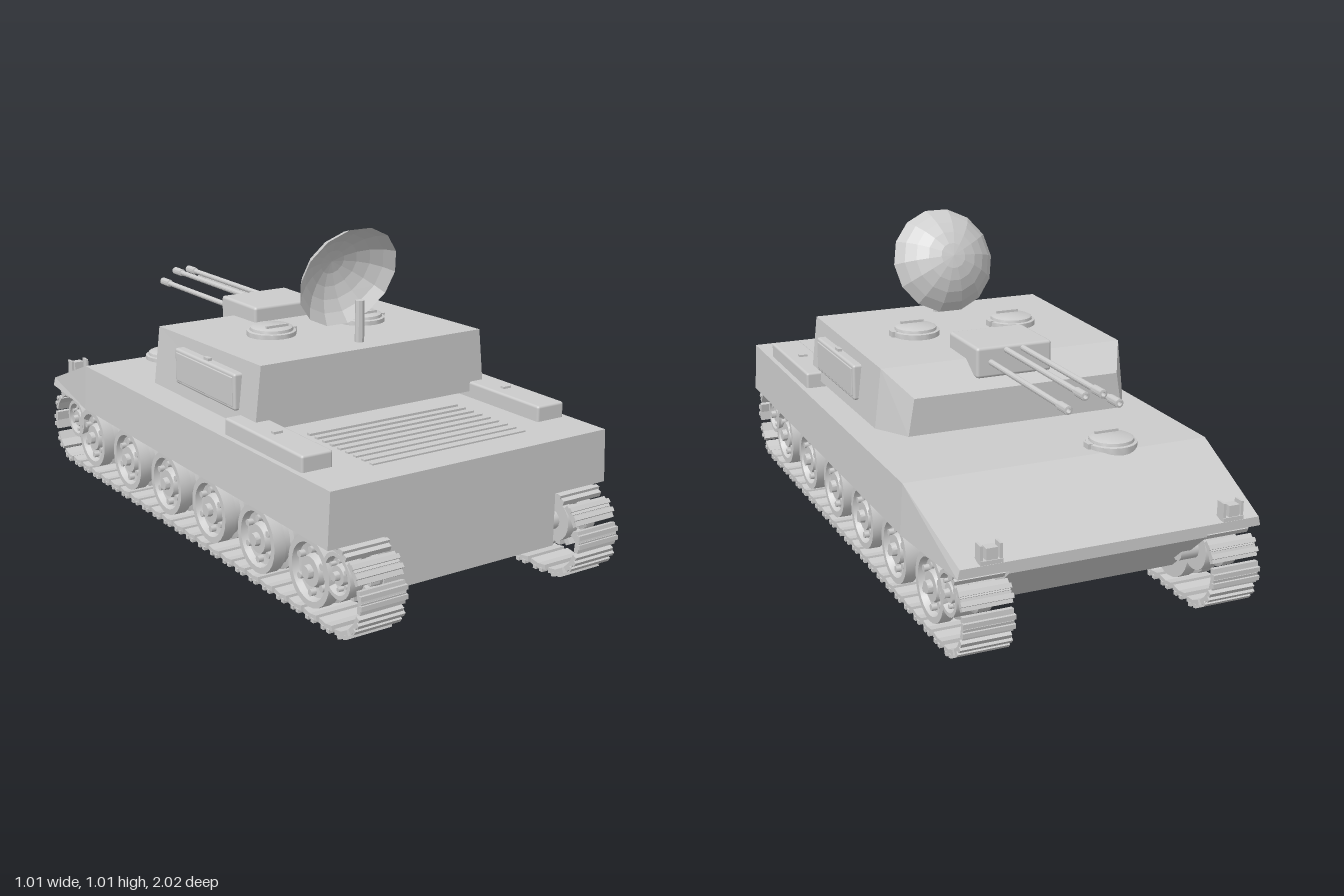
import * as THREE from 'three';
import { mergeGeometries, toCreasedNormals } from 'three/addons/utils/BufferGeometryUtils.js';
import { RoundedBoxGeometry } from 'three/addons/geometries/RoundedBoxGeometry.js';

const flat = new THREE.MeshStandardMaterial({ color: 0xcccccc, flatShading: true });
const smooth = new THREE.MeshStandardMaterial({ color: 0xcccccc });
const thin = new THREE.MeshStandardMaterial({ color: 0xcccccc, flatShading: true, side: THREE.DoubleSide });

function add(parent, name, geometry, material, x = 0, y = 0, z = 0) {
  const mesh = new THREE.Mesh(geometry, material);
  mesh.name = name;
  mesh.position.set(x, y, z);
  parent.add(mesh);
  return mesh;
}

const box = (w, h, d) => new THREE.BoxGeometry(w, h, d);
const rounded = (w, h, d, r = 0.008) => new RoundedBoxGeometry(w, h, d, 2, r);

// Four-cornered sections from rear to nose: [z, half width low, half width high, y low, y high]
function loft(sections) {
  const pos = [], idx = [];
  for (const [z, wb, wt, yb, yt] of sections) pos.push(-wb, yb, z, wb, yb, z, wt, yt, z, -wt, yt, z);
  for (let s = 0; s < sections.length - 1; s++) {
    for (let i = 0; i < 4; i++) {
      const a = s * 4 + i, b = s * 4 + (i + 1) % 4;
      idx.push(a, a + 4, b, b, a + 4, b + 4);
    }
  }
  const e = (sections.length - 1) * 4;
  idx.push(0, 1, 2, 0, 2, 3, e, e + 2, e + 1, e, e + 3, e + 2);
  const g = new THREE.BufferGeometry();
  g.setAttribute('position', new THREE.Float32BufferAttribute(pos, 3));
  g.setIndex(idx);
  const out = g.toNonIndexed();
  out.computeVertexNormals();
  return out;
}

function lathe(profile, segments) {
  const g = new THREE.LatheGeometry(profile.map(p => new THREE.Vector2(...p)), segments);
  return toCreasedNormals(g, 0.6);
}

// Dished disc with hub and a ring of bolts, axis along y
function wheelGeometry(r) {
  const disc = lathe([[0, -0.055], [r, -0.055], [r, -0.015], [r * 0.85, -0.01], [r * 0.85, 0.01], [r, 0.015],
    [r, 0.055], [r * 0.82, 0.055], [r * 0.76, 0.035], [r * 0.48, 0.03], [r * 0.42, 0.05],
    [r * 0.2, 0.05], [r * 0.18, 0.066], [0, 0.066]], 24);
  const parts = [disc];
  for (let i = 0; i < 6; i++) {
    const a = i * Math.PI / 3;
    parts.push(new THREE.CylinderGeometry(r * 0.1, r * 0.1, 0.02, 8).toNonIndexed()
      .translate(Math.cos(a) * r * 0.62, 0.04, Math.sin(a) * r * 0.62));
  }
  return mergeGeometries(parts);
}

// Separate links laid around a long oval
function trackGeometry() {
  const half = 0.87, r = 0.121, yc = 0.147, count = 54;
  const straight = half * 2, arc = Math.PI * r, total = 2 * (straight + arc);
  const link = mergeGeometries([
    box(0.15, 0.016, 0.034).rotateX(0.16).translate(0, 0, 0.016),
    box(0.15, 0.016, 0.034).rotateX(-0.16).translate(0, 0, -0.016),
    box(0.156, 0.012, 0.014).translate(0, 0.01, 0.012),
    box(0.156, 0.012, 0.014).translate(0, 0.01, -0.016)]);
  const links = [];
  for (let i = 0; i < count; i++) {
    let s = (i + 0.5) * total / count, z, y, a;
    if (s < straight) { z = half - s; y = yc - r; a = Math.PI; }
    else if ((s -= straight) < arc) {
      a = Math.PI + s / r;
      z = -half + Math.sin(a) * r; y = yc + Math.cos(a) * r;
    } else if ((s -= arc) < straight) { z = -half + s; y = yc + r; a = 0; }
    else {
      a = (s - straight) / r;
      z = half + Math.sin(a) * r; y = yc + Math.cos(a) * r;
    }
    links.push(link.clone().rotateX(a).translate(0, y, z));
  }
  return mergeGeometries(links);
}

function hatch(parent, name, x, y, z) {
  const g = new THREE.Group();
  g.name = name;
  g.position.set(x, y, z);
  add(g, 'hatchLid', lathe([[0, -0.015], [0.079, -0.015], [0.079, 0.012], [0.07, 0.014], [0.068, 0.023],
    [0.06, 0.027], [0, 0.027]], 24), smooth);
  add(g, 'hatchHandle', box(0.08, 0.008, 0.008), flat, 0, 0.031, 0.033);
  add(g, 'hatchHinge', box(0.02, 0.02, 0.03), flat, 0.077, 0.005, 0);
  parent.add(g);
}

export function createModel() {
  const model = new THREE.Group();
  model.name = 'trackedGunCarrier';

  // Hull
  add(model, 'upperHull', loft([[0.9, 0.505, 0.497, 0.28, 0.447], [-0.64, 0.505, 0.497, 0.28, 0.436],
    [-0.985, 0.475, 0.468, 0.28, 0.308]]), flat);
  add(model, 'lowerHull', loft([[0.895, 0.312, 0.312, 0.112, 0.285], [0.87, 0.312, 0.312, 0.1, 0.285],
    [-0.78, 0.312, 0.312, 0.1, 0.285], [-0.96, 0.312, 0.312, 0.26, 0.285]]), flat);
  for (let i = 0; i < 9; i++) add(model, 'grilleSlat', box(0.56, 0.01, 0.016), flat, 0, 0.446, 0.46 + i * 0.04);
  hatch(model, 'driverHatch', -0.2, 0.438, -0.585);

  // Running gear and side fittings, mirrored
  const track = trackGeometry(), roadWheel = wheelGeometry(0.106), endWheel = wheelGeometry(0.068);
  const teeth = [];
  for (let i = 0; i < 12; i++) teeth.push(box(0.03, 0.03, 0.018).translate(0, 0.072, 0).rotateX(i * Math.PI / 6));
  const toothRing = mergeGeometries(teeth);
  for (const s of [1, -1]) {
    const side = s > 0 ? 'left' : 'right';
    const gear = new THREE.Group();
    gear.name = side + 'RunningGear';
    model.add(gear);
    add(gear, 'track', track, flat, s * 0.39);
    for (let i = 0; i < 6; i++) {
      add(gear, 'roadWheel', roadWheel, smooth, s * 0.394, 0.142, 0.72 - i * 0.2872).rotation.z = -s * Math.PI / 2;
    }
    for (const z of [0.86, -0.85]) {
      add(gear, 'endWheel', endWheel, smooth, s * 0.394, 0.18, z).rotation.z = -s * Math.PI / 2;
      add(gear, 'endWheelAxle', new THREE.CylinderGeometry(0.03, 0.03, 0.1, 12), smooth, s * 0.33, 0.18, z)
        .rotation.z = Math.PI / 2;
    }
    add(gear, 'sprocketTeeth', toothRing, flat, s * 0.38, 0.18, 0.86);

    add(model, side + 'StowageBin', rounded(0.104, 0.06, 0.425), smooth, s * 0.428, 0.465, 0.522);
    add(model, side + 'BinLatch', box(0.03, 0.008, 0.016), flat, s * 0.428, 0.498, 0.522);

    // Lamp in a bracket on the nose
    const lamp = new THREE.Group();
    lamp.name = side + 'NoseLamp';
    lamp.position.set(s * 0.378, 0, -0.972);
    add(lamp, 'bracketBase', box(0.066, 0.012, 0.04), flat, 0, 0.318, 0);
    for (const x of [-0.029, 0.029]) add(lamp, 'bracketCheek', box(0.008, 0.05, 0.034), flat, x, 0.342, 0);
    add(lamp, 'lampBody', box(0.034, 0.034, 0.03), flat, 0, 0.343, -0.006);
    model.add(lamp);
  }

  // Turret
  const turret = new THREE.Group();
  turret.name = 'turret';
  model.add(turret);
  add(turret, 'turretBody', loft([[0.405, 0.432, 0.41, 0.463, 0.665], [-0.235, 0.432, 0.41, 0.463, 0.652],
    [-0.348, 0.365, 0.345, 0.463, 0.58]]), flat);
  for (const s of [1, -1]) {
    add(turret, 'sidePanel', rounded(0.045, 0.115, 0.375), smooth, s * 0.42, 0.563, 0.118);
    add(turret, 'sidePanelFace', rounded(0.008, 0.092, 0.35, 0.003), smooth, s * 0.4415, 0.563, 0.118);
    add(turret, 'sidePanelCatch', box(0.014, 0.012, 0.03), flat, s * 0.427, 0.623, 0.118);
    hatch(turret, 'turretHatch', s * 0.173, 0.662, 0.08);
  }

  // Gun housing and four barrels
  add(turret, 'gunHousing', rounded(0.255, 0.098, 0.222, 0.01), smooth, 0, 0.656, -0.208);
  for (const [x, y] of [[-0.08, 0.657], [-0.028, 0.691], [0.028, 0.691], [0.08, 0.657]]) {
    const barrel = lathe([[0.009, 0], [0.009, 0.47], [0.013, 0.472], [0.013, 0.525], [0.007, 0.527], [0.007, 0.5], [0, 0.5]], 12);
    add(turret, 'gunBarrel', barrel, smooth, x, y, -0.315).rotation.x = -Math.PI / 2;
  }

  // Radar dish: a shallow spherical bowl tilted toward its feed post
  const R = 0.207, open = Math.asin(0.178 / R), bowl = [];
  for (let i = 0; i <= 5; i++) {
    const a = open * i / 5;
    bowl.push(new THREE.Vector2(Math.sin(a) * R, Math.cos(a) * R));
  }
  const dish = add(turret, 'radarDish', new THREE.LatheGeometry(bowl, 14, Math.PI / 2), thin, 0, 0.817, 0.358);
  dish.quaternion.setFromUnitVectors(new THREE.Vector3(0, 1, 0), new THREE.Vector3(0, 0.354, -0.935).normalize());
  add(turret, 'feedPost', new THREE.CylinderGeometry(0.015, 0.015, 0.135, 8), flat, 0, 0.727, 0.32);

  return model;
}
